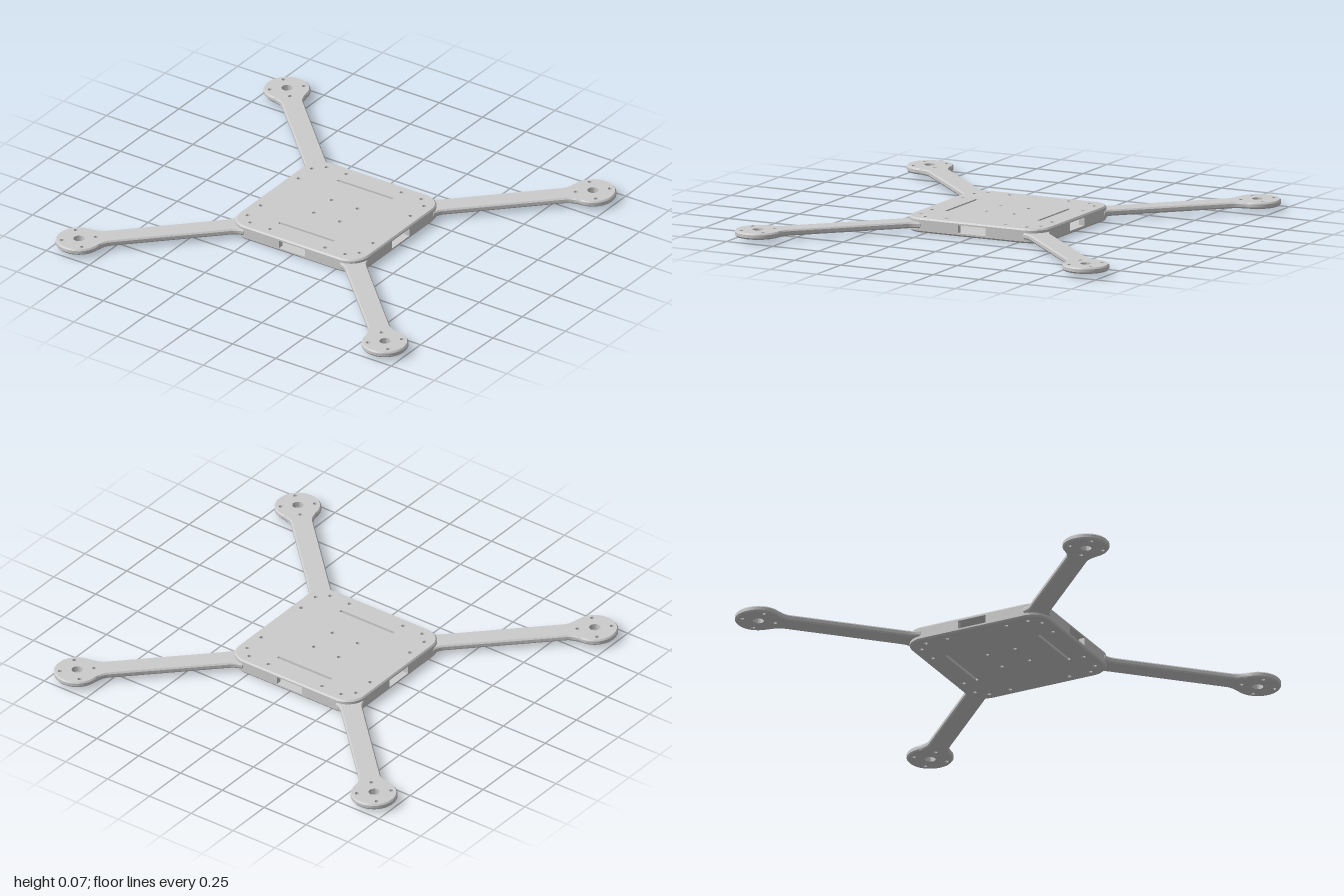
import * as THREE from 'three';
import { toCreasedNormals } from 'three/addons/utils/BufferGeometryUtils.js';

const HALF = 0.375, CORNER = 0.1, PLATE = 0.015, HEIGHT = 0.07;
const POD = 1.2544, POD_R = 0.1125, ARM_W = 0.053, ARM_T = 0.03, EDGE = 0.006;

const circleHole = (x, y, r) => new THREE.Path().absarc(x, y, r, 0, Math.PI * 2, true);

// Extrude a flat outline upwards along y, easing its outer edges by a rule
function slab(shape, depth, steps, ease) {
  const geo = new THREE.ExtrudeGeometry(shape, { depth, steps, bevelEnabled: false, curveSegments: 20 });
  const p = geo.attributes.position, v = new THREE.Vector3();
  for (let i = 0; i < p.count; i++) {
    v.fromBufferAttribute(p, i);
    ease(v);
    p.setXYZ(i, v.x, v.y, v.z);
  }
  geo.rotateX(-Math.PI / 2);
  return toCreasedNormals(geo, 0.6);
}

// Rounded square plate with screw holes and two strap slots
function plateGeometry() {
  const c = HALF - CORNER, s = new THREE.Shape();
  for (let i = 0; i < 4; i++) {
    const a = i * Math.PI / 2;
    const cx = (i === 0 || i === 3) ? c : -c, cy = i < 2 ? c : -c;
    s.absarc(cx, cy, CORNER, a, a + Math.PI / 2, false);
  }
  for (const sx of [-1, 1]) for (const sy of [-1, 1]) {
    for (const [x, y] of [[0.275, 0.325], [0.325, 0.275], [0.16, 0.325], [0.325, 0.16], [0.075, 0.075]]) {
      s.holes.push(circleHole(sx * x, sy * y, 0.01));
    }
  }
  for (const y of [-0.25, 0.25]) {
    s.holes.push(new THREE.Path().moveTo(-0.16, y - 0.0075).lineTo(-0.16, y + 0.0075)
      .lineTo(0.16, y + 0.0075).lineTo(0.16, y - 0.0075));
  }
  return slab(s, PLATE, 2, v => {
    const rim = Math.max(Math.abs(v.x), Math.abs(v.y)) > 0.34;
    if (rim && v.z > PLATE - 1e-4) { v.x *= 1 - EDGE / HALF; v.y *= 1 - EDGE / HALF; }
  });
}

// One corner of the side wall; gaps between corners form the windows
function wallGeometry() {
  const t = 0.03, c = HALF - CORNER, w = 0.075;
  const s = new THREE.Shape();
  s.moveTo(HALF, w).lineTo(HALF, c);
  s.absarc(c, c, CORNER, 0, Math.PI / 2, false);
  s.lineTo(w, HALF).lineTo(w, HALF - t).lineTo(c, HALF - t);
  s.absarc(c, c, CORNER - t, Math.PI / 2, 0, true);
  s.lineTo(HALF - t, w);
  return slab(s, HEIGHT - 2 * PLATE, 1, () => {});
}

// Arm along +x: flared root, straight shaft and round motor mount
function armGeometry() {
  const a = Math.atan2(0.083, -0.076), s = new THREE.Shape();
  s.moveTo(0.43, -0.06).lineTo(0.465, -0.07);
  s.quadraticCurveTo(0.495, -ARM_W, 0.52, -ARM_W);
  s.lineTo(1.115, -ARM_W);
  s.quadraticCurveTo(1.145, -0.057, POD + POD_R * Math.cos(a), -POD_R * Math.sin(a));
  s.absarc(POD, 0, POD_R, -a, a, false);
  s.quadraticCurveTo(1.145, 0.057, 1.115, ARM_W);
  s.lineTo(0.52, ARM_W);
  s.quadraticCurveTo(0.495, ARM_W, 0.465, 0.07);
  s.lineTo(0.43, 0.06);
  s.holes.push(circleHole(POD, 0, 0.027));
  for (let i = 0; i < 4; i++) {
    const h = i * Math.PI / 2;
    s.holes.push(circleHole(POD + 0.083 * Math.cos(h), 0.083 * Math.sin(h), 0.01));
  }
  return slab(s, ARM_T, 4, v => {
    const outer = Math.hypot(v.x - POD, v.y) > 0.105;
    if (!outer || (v.z > 1e-4 && v.z < ARM_T - 1e-4)) return;
    const dx = v.x - Math.min(v.x, POD);
    // Round the mount towards its centre and the shaft towards its spine
    const cx = v.x > 1.178 ? v.x - POD : dx, l = Math.hypot(cx, v.y);
    v.x -= EDGE * cx / l;
    v.y -= EDGE * v.y / l;
  });
}

export function createModel() {
  const group = new THREE.Group();
  const material = new THREE.MeshStandardMaterial({ color: 0xcccccc });
  const add = (name, geo, y) => {
    const mesh = new THREE.Mesh(geo, material);
    mesh.name = name;
    mesh.position.y = y;
    group.add(mesh);
    return mesh;
  };

  // Central body: two plates with walls between
  const plate = plateGeometry();
  add('topPlate', plate, HEIGHT - PLATE);
  add('bottomPlate', plate, PLATE).rotation.x = Math.PI;

  // Four corner walls and four diagonal arms
  const wall = wallGeometry(), arm = armGeometry();
  ['backLeft', 'backRight', 'frontRight', 'frontLeft'].forEach((corner, i) => {
    add(corner + 'Wall', wall, PLATE).rotation.y = i * Math.PI / 2;
    add(corner + 'Arm', arm, (HEIGHT - ARM_T) / 2).rotation.y = Math.PI / 4 + i * Math.PI / 2;
  });
  return group;
}
